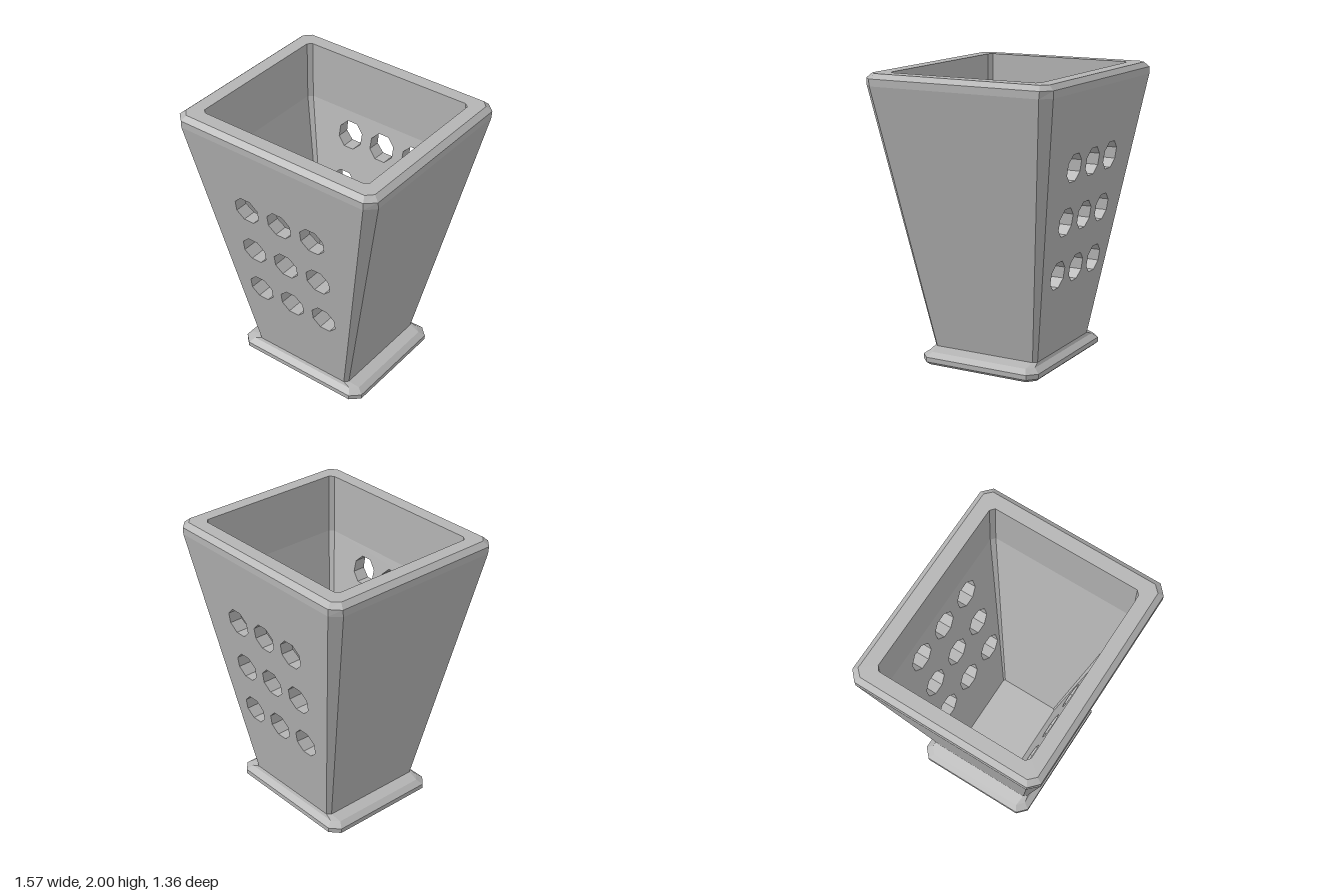
import * as THREE from 'three';

// Eight points of a rectangle with cut corners: half sizes hx, hz and corner cuts cx, cz
function ring([y, hx, hz, cx, cz]) {
  const ix = hx - cx, iz = hz - cz;
  return [[ix, hz], [hx, iz], [hx, -iz], [ix, -hz], [-ix, -hz], [-hx, -iz], [-hx, iz], [-ix, hz]]
    .map(([x, z]) => new THREE.Vector3(x, y, z));
}

function flatGeometry(points) {
  const geometry = new THREE.BufferGeometry().setFromPoints(points);
  geometry.computeVertexNormals();
  return geometry;
}

// Skin between successive rings; listed sides are left open
function loft(sections, skip = []) {
  const rings = sections.map(ring), points = [];
  for (let r = 0; r < rings.length - 1; r++) {
    for (let i = 0; i < 8; i++) {
      if (skip.includes(i)) continue;
      const j = (i + 1) % 8, a = rings[r], b = rings[r + 1];
      points.push(a[i], a[j], b[j], a[i], b[j], b[i]);
    }
  }
  return flatGeometry(points);
}

// Flat cap over one ring
function cap(section, up) {
  const p = ring(section), points = [];
  for (let i = 1; i < 7; i++) points.push(p[0], ...(up ? [p[i], p[i + 1]] : [p[i + 1], p[i]]));
  return flatGeometry(points);
}

// Nine octagonal holes in a 3 x 3 grid
const holes = [];
for (const y of [0.685, 1.05, 1.415]) {
  for (const x of [-0.267, 0, 0.267]) {
    holes.push(Array.from({ length: 8 }, (_, i) => {
      const a = (i + 0.5) * Math.PI / 4;
      return new THREE.Vector2(x + 0.1 * Math.cos(a), y + 0.1 * Math.sin(a));
    }));
  }
}

// Depth of the sloping wall between two sections at height y
const depthAt = ([lo, hi], y) => THREE.MathUtils.mapLinear(y, lo[0], hi[0], lo[2], hi[2]);

// Perforated sloping wall panel facing +z, or -z when flipped
function panel(wall, flip) {
  const [lo, hi] = wall, w0 = lo[1] - lo[3], w1 = hi[1] - hi[3];
  const shape = new THREE.Shape([[-w0, lo[0]], [w0, lo[0]], [w1, hi[0]], [-w1, hi[0]]]
    .map(([x, y]) => new THREE.Vector2(x, y)));
  shape.holes = holes.map((h) => new THREE.Path(h));
  const geometry = new THREE.ShapeGeometry(shape), pos = geometry.attributes.position;
  for (let i = 0; i < pos.count; i++) pos.setZ(i, depthAt(wall, pos.getY(i)));
  if (flip) geometry.index.array.reverse();
  geometry.computeVertexNormals();
  return geometry;
}

// Straight hole sides joining the outer and inner panels
function tunnels(outer, inner) {
  const points = [];
  for (const h of holes) {
    for (let i = 0; i < 8; i++) {
      const p = h[i], q = h[(i + 1) % 8];
      const at = (v, wall) => new THREE.Vector3(v.x, v.y, depthAt(wall, v.y));
      const a = at(p, outer), b = at(q, outer), c = at(q, inner), d = at(p, inner);
      points.push(a, b, c, a, c, d);
    }
  }
  return flatGeometry(points);
}

export function createModel() {
  const model = new THREE.Group();
  const grey = new THREE.MeshStandardMaterial({ color: 0xb4b4b4 });
  grey.name = 'plain grey';
  const add = (name, geometry, parent = model) => {
    const mesh = new THREE.Mesh(geometry, grey);
    mesh.name = name;
    parent.add(mesh);
  };

  // Sections are [y, half width, half depth, corner cut x, corner cut z]
  const outer = [[0.105, 0.395, 0.395, 0.025, 0.025], [1.92, 0.785, 0.68, 0.065, 0.065]];
  const inner = [[0.18, 0.275, 0.222, 0.01, 0.01], [1.58, 0.655, 0.55, 0.03, 0.025]];
  const lip = [2, 0.655, 0.55, 0.03, 0.025];

  // Chamfered foot
  const foot = [
    [0, 0.49, 0.42, 0.055, 0.05], [0.022, 0.515, 0.445, 0.065, 0.06],
    [0.055, 0.515, 0.445, 0.065, 0.06], [0.085, 0.475, 0.405, 0.05, 0.045], outer[0],
  ];
  add('foot', loft(foot));
  add('footUnderside', cap(foot[0], false));

  // Tapering body, rim and hollow inside; sides 3 and 7 are the perforated walls
  add('outerWalls', loft(outer, [3, 7]));
  add('rim', loft([outer[1], [1.968, 0.785, 0.68, 0.065, 0.06], [2, 0.748, 0.645, 0.045, 0.045], lip, inner[1]]));
  add('innerWalls', loft([inner[1], inner[0]], [3, 7]));
  add('innerFloor', cap(inner[0], true));

  // Front and back walls with holes
  for (const [name, turn] of [['frontWall', 0], ['backWall', Math.PI]]) {
    const wall = new THREE.Group();
    wall.name = name;
    wall.rotation.y = turn;
    add('outerPanel', panel(outer, false), wall);
    add('innerPanel', panel(inner, true), wall);
    add('holeSides', tunnels(outer, inner), wall);
    model.add(wall);
  }
  return model;
}
